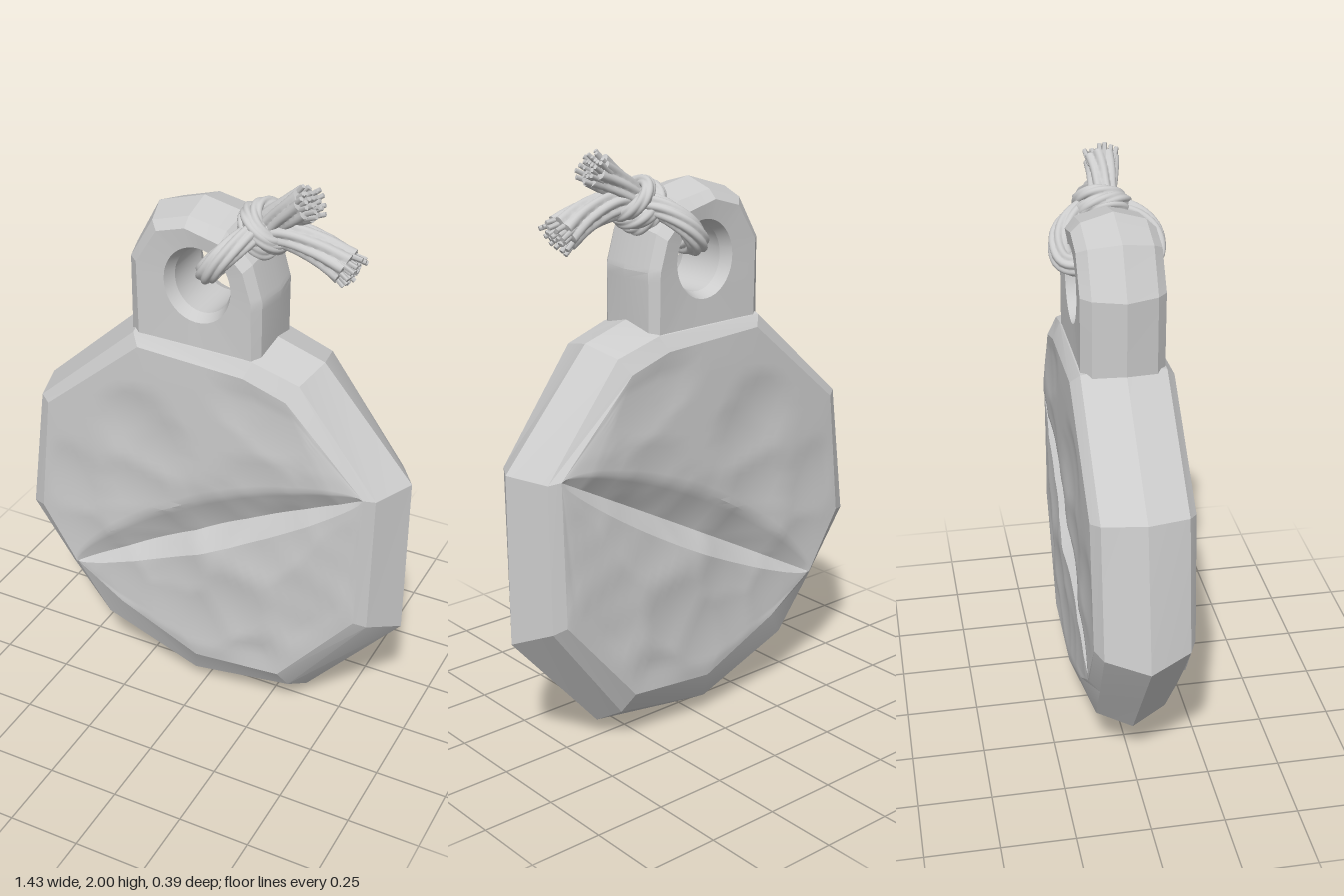
import * as THREE from 'three';
import { toCreasedNormals } from 'three/addons/utils/BufferGeometryUtils.js';

const V = (x, y, z = 0) => new THREE.Vector3(x, y, z);
const mix = THREE.MathUtils.lerp;
const material = new THREE.MeshStandardMaterial({ color: 0xcccccc });

let seed = 7;
const rand = () => (seed = (seed * 16807) % 2147483647) / 2147483647;

// Surface through points fn(i, j); the front is on the side of du x dv unless flipped
function surface(name, fn, nu, nv, { flip = false, crease = 0.5 } = {}) {
  const pos = [], index = [];
  for (let j = 0; j <= nv; j++) for (let i = 0; i <= nu; i++) pos.push(...fn(i, j).toArray());
  for (let j = 0; j < nv; j++) for (let i = 0; i < nu; i++) {
    const a = j * (nu + 1) + i, b = a + 1, c = a + nu + 1, d = c + 1;
    index.push(...(flip ? [a, c, b, b, c, d] : [a, b, c, b, d, c]));
  }
  const g = new THREE.BufferGeometry();
  g.setAttribute('position', new THREE.Float32BufferAttribute(pos, 3));
  g.setIndex(index);
  g.scale(100, 100, 100); // keeps the crease test precise on fine detail
  const creased = toCreasedNormals(g, crease);
  creased.scale(0.01, 0.01, 0.01);
  const mesh = new THREE.Mesh(creased, material);
  mesh.name = name;
  return mesh;
}

// Rim corners, counterclockwise: outer crest, bevel edge and panel edge
const outer = [[-0.04, 0], [0.37, 0.06], [0.71, 0.45], [0.71, 1.03], [0.39, 1.4], [0.2, 1.46],
  [-0.25, 1.46], [-0.64, 1.1], [-0.72, 0.6], [-0.56, 0.37], [-0.42, 0.17]].map(p => V(...p));
const bevel = [[-0.03, 0.06, 0.1], [0.34, 0.12, 0.1], [0.63, 0.5, 0.12], [0.635, 1.01, 0.12], [0.36, 1.37, 0.13],
  [0.2, 1.42, 0.14], [-0.23, 1.425, 0.14], [-0.6, 1.09, 0.14], [-0.66, 0.63, 0.14], [-0.515, 0.405, 0.13],
  [-0.375, 0.21, 0.12]].map(p => V(...p));
const panel = [[0, 0.17, 0.155], [0.32, 0.2, 0.155], [0.59, 0.52, 0.145], [0.6, 1.02, 0.145], [0.33, 1.32, 0.165],
  [0.18, 1.37, 0.168], [-0.2, 1.39, 0.17], [-0.56, 1.08, 0.168], [-0.61, 0.64, 0.165], [-0.48, 0.43, 0.16],
  [-0.3, 0.31, 0.16]].map(p => V(...p));
const toBack = p => V(p.x, p.y, -p.z);

function rim() {
  const rings = [panel.map(toBack), bevel.map(toBack), outer, bevel, panel];
  return surface('rim', (i, j) => rings[j][i % 11], 11, 4, { crease: 0.3 });
}

// Centres of the hammered hollows
const hollows = Array.from({ length: 34 }, () => [mix(-0.65, 0.65, rand()), mix(0.15, 1.4, rand())]);
const hammered = (x, y) => {
  const d = Math.min(...hollows.map(([a, b]) => (x - a) ** 2 + (y - b) ** 2));
  return 0.014 * Math.min(1, d / 0.022) - 0.012;
};

// Half of a face, running from the diagonal groove to the panel edge
function facePanel(name, corners, wallWidth, upper, side) {
  const start = panel[9], along = panel[3].clone().sub(start);
  const perSegment = 10, nu = (corners.length - 1) * perSegment, wallRows = 5, nv = 26;
  const point = (i, j) => {
    const k = Math.min(Math.floor(i / perSegment), corners.length - 2);
    const edge = panel[corners[k]].clone().lerp(panel[corners[k + 1]], i / perSegment - k);
    const t = THREE.MathUtils.clamp(edge.clone().sub(start).setZ(0).dot(along.clone().setZ(0)) / (along.x ** 2 + along.y ** 2), 0, 1);
    const base = start.clone().addScaledVector(along, t);
    const length = Math.hypot(edge.x - base.x, edge.y - base.y);
    const open = Math.sin(Math.PI * t) ** 0.6 || 0;
    const lip = length > 1e-4 ? Math.min(0.5, wallWidth * open / length) : 0;
    const v = j <= wallRows ? lip * j / wallRows : mix(lip, 1, (j - wallRows) / (nv - wallRows));
    const p = base.lerp(edge, v);
    const wall = Math.max(0, 1 - j / wallRows);
    const fade = Math.min(1, (1 - v) * 6) * open;
    p.z = mix(edge.z, 0.168, (1 - v ** 3) * open) - 0.065 * open * wall + hammered(p.x, p.y) * fade;
    p.z *= side;
    return p;
  };
  return surface(name, point, nu, nv, { flip: upper !== (side > 0), crease: 0.55 });
}

// Lug on top, lofted round its section from the hole and back to the hole
function lug() {
  const crest = [[-0.28, 1.38], [0.22, 1.38], [0.23, 1.62], [0.19, 1.76], [0.1, 1.86], [-0.04, 1.89], [-0.2, 1.84], [-0.285, 1.68]];
  const shoulder = [[-0.25, 1.38], [0.215, 1.38], [0.215, 1.62], [0.18, 1.74], [0.09, 1.835], [-0.04, 1.86], [-0.17, 1.82], [-0.25, 1.68]];
  const face = [[-0.21, 1.38], [0.195, 1.38], [0.19, 1.62], [0.16, 1.72], [0.08, 1.8], [-0.04, 1.83], [-0.14, 1.8], [-0.215, 1.68]];
  const per = 8, n = 8 * per;
  const sample = (poly, i) => {
    const k = Math.floor(i / per) % 8, f = (i % per) / per, a = poly[k], b = poly[(k + 1) % 8];
    return [mix(a[0], b[0], f), mix(a[1], b[1], f)];
  };
  const hole = (i, grow) => {
    const [x, y] = sample(face, i), a = Math.atan2(y - 1.64, x);
    return [(0.1 + grow) * Math.cos(a), 1.64 + (0.112 + grow) * Math.sin(a)];
  };
  const half = [[i => hole(i, 0), 0.09], [i => hole(i, 0.018), 0.132], [i => sample(face, i), 0.137],
    [i => sample(shoulder, i), 0.105]];
  const rings = [...half.map(([f, z]) => [f, -z]), [i => sample(crest, i), 0], ...half.slice().reverse(), [half[0][0], -0.09]];
  return surface('lug', (i, j) => V(...rings[j][0](i), rings[j][1]), n, rings.length - 1, { crease: 0.32 });
}

// Twisted rope with fluted strands; open ropes are closed at both ends
function rope(name, points, radius, { closed = false, strands = 7, twist = 1, flare = 0, steps = 48 } = {}) {
  const curve = new THREE.CatmullRomCurve3(points, closed);
  const frames = curve.computeFrenetFrames(steps, closed), around = strands * 6;
  return surface(name, (i, j) => {
    const a = (i % around) / around * Math.PI * 2, t = j / steps;
    const flute = 0.82 + 0.22 * Math.abs(Math.cos(strands / 2 * a + twist * Math.PI * t));
    const end = !closed && (j === 0 || j === steps) ? 0 : 1;
    const r = radius * flute * (1 + flare * t ** 3) * end;
    return curve.getPointAt(closed && j === steps ? 0 : t)
      .addScaledVector(frames.normals[j], r * Math.cos(a)).addScaledVector(frames.binormals[j], r * Math.sin(a));
  }, around, steps, { crease: 0.9 });
}

// Loose end of the rope with a frayed tip
function looseEnd(name, points, radius) {
  const group = new THREE.Group();
  group.name = name;
  group.add(rope('strands', points, radius, { strands: 8, twist: 1.5, flare: 0.3, steps: 28 }));
  const tip = points.at(-1), dir = tip.clone().sub(points.at(-2)).normalize();
  const side = V(-dir.y, dir.x), up = V(0, 0, 1);
  for (let k = 0; k < 26; k++) {
    const a = k * 2.4, r = radius * 1.15 * Math.sqrt((k + 0.5) / 26);
    const offset = side.clone().multiplyScalar(r * Math.cos(a)).addScaledVector(up, r * Math.sin(a));
    const lean = dir.clone().addScaledVector(offset, 6).normalize();
    const fibre = new THREE.Mesh(new THREE.CylinderGeometry(0.008, 0.011, 0.055 + 0.02 * rand(), 5), material);
    fibre.name = 'fibre';
    fibre.quaternion.setFromUnitVectors(V(0, 1, 0), lean);
    fibre.position.copy(tip).add(offset).addScaledVector(lean, -0.018 + 0.014 * rand());
    group.add(fibre);
  }
  return group;
}

function knottedRope() {
  const group = new THREE.Group();
  group.name = 'knottedRope';
  // Loop through the hole and round the edge of the lug
  const front = [V(0.03, 1.69, 0.09), V(0.045, 1.705, 0.145), V(0.09, 1.76, 0.15), V(0.14, 1.81, 0.1)];
  group.add(rope('loop', [V(0.05, 1.705, 0), ...front, V(0.18, 1.835, 0), ...front.map(toBack).reverse()], 0.038,
    { closed: true, twist: 7, steps: 80 }));
  // Turns of the knot
  const axis = V(0.75, 0.66, 0).normalize(), across = V(-axis.y, axis.x);
  [[-0.03, 0.012, 0.068], [0, -0.015, 0.074], [0.03, 0.01, 0.066]].forEach(([shift, tilt, r], k) => {
    const turn = Array.from({ length: 10 }, (_, i) => {
      const a = i / 10 * Math.PI * 2;
      return V(0.172, 1.822).addScaledVector(axis, shift + tilt * Math.cos(a + k))
        .addScaledVector(across, r * Math.cos(a)).add(V(0, 0, r * 1.05 * Math.sin(a)));
    });
    group.add(rope('knotTurn', turn, 0.024, { closed: true, strands: 5, twist: 5, steps: 40 }));
  });
  group.add(looseEnd('upperEnd', [V(0.14, 1.8), V(0.22, 1.87, 0.01), V(0.275, 1.91, 0.02), V(0.325, 1.945, 0.025)], 0.046));
  group.add(looseEnd('lowerEnd', [V(0.14, 1.8), V(0.25, 1.825, 0.015), V(0.37, 1.8, 0.02), V(0.465, 1.755, 0.02)], 0.048));
  return group;
}

export function createModel() {
  const model = new THREE.Group();
  model.name = 'stonePendant';
  model.add(rim(), lug(), knottedRope());
  for (const [label, side] of [['front', 1], ['back', -1]]) {
    model.add(facePanel(label + 'UpperPanel', [9, 8, 7, 6, 5, 4, 3], 0.13, true, side));
    model.add(facePanel(label + 'LowerPanel', [9, 10, 0, 1, 2, 3], 0.065, false, side));
  }
  return model;
}
